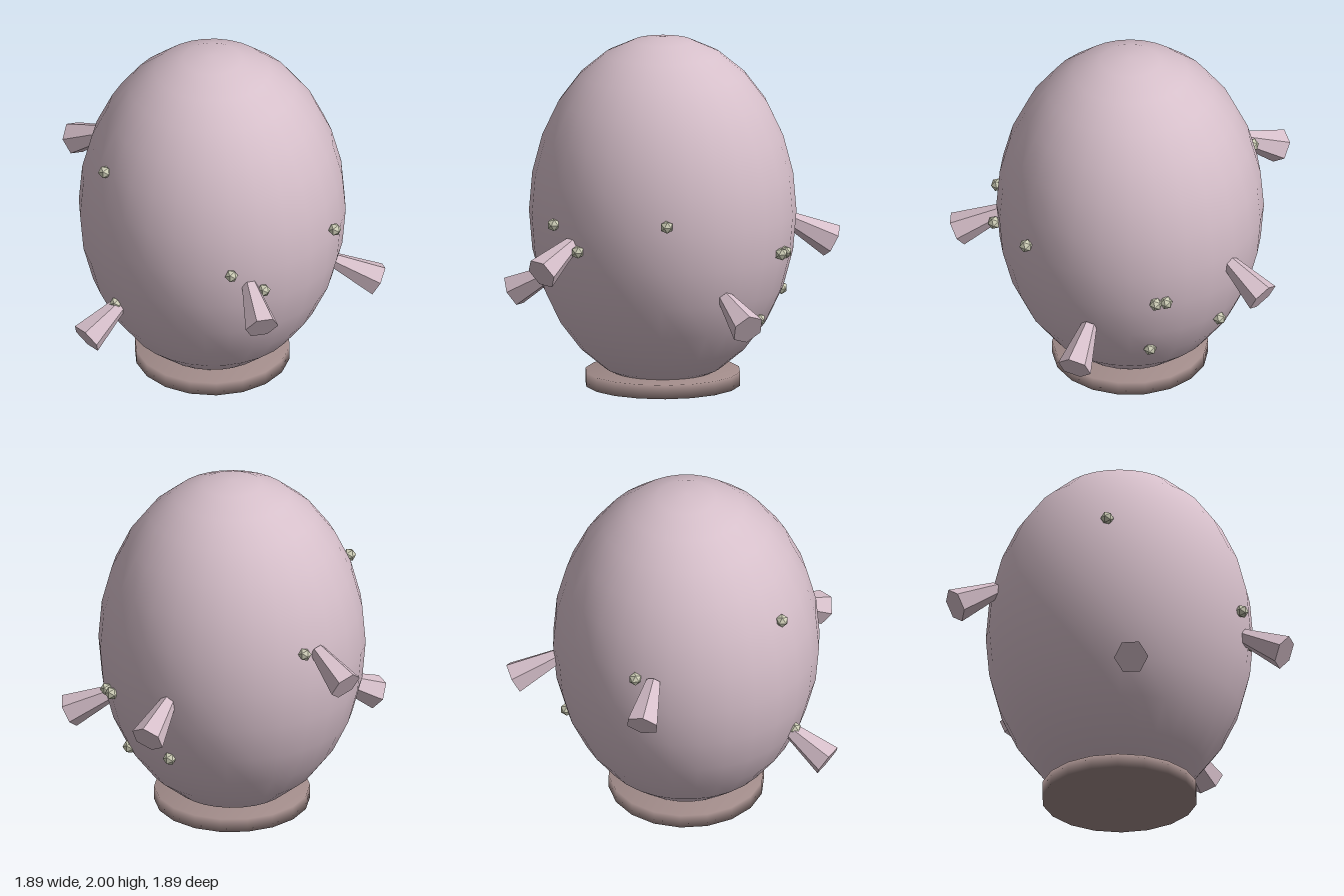
import * as THREE from 'three';
import { mergeVertices } from 'three/addons/utils/BufferGeometryUtils.js';

const CX = 0.015, CZ = 0.075; // vertical axis of the egg

function material(name, color, flatShading = false) {
  const m = new THREE.MeshStandardMaterial({ color, flatShading });
  m.name = name;
  return m;
}

export function createModel() {
  const group = new THREE.Group();
  const skin = material('paleMauve', 0xd6bfca);
  const hornSkin = material('paleMauveFaceted', 0xd6bfca, true);
  const stone = material('brownGrey', 0xa28c8a);
  const wartSkin = material('paleSage', 0xcdcdb6, true);

  const add = (name, geometry, mat, x, y, z) => {
    const mesh = new THREE.Mesh(geometry, mat);
    mesh.name = name;
    mesh.position.set(x, y, z);
    group.add(mesh);
    return mesh;
  };

  // Egg-shaped body
  const egg = new THREE.SphereGeometry(1, 28, 14);
  egg.scale(0.755, 1, 0.755);
  add('body', egg, skin, CX, 1, CZ);

  // Round foot with softly shaded rim
  let foot = new THREE.CylinderGeometry(0.44, 0.44, 0.08, 18);
  foot.deleteAttribute('normal');
  foot.deleteAttribute('uv');
  foot = mergeVertices(foot);
  foot.computeVertexNormals();
  add('foot', foot, stone, CX, 0.04, CZ);

  // Hexagonal horns, flaring outward and drooping; listed by the centre of the outer end
  const length = 0.28, droop = 0.5;
  const horn = new THREE.CylinderGeometry(0.097, 0.045, length, 6);
  horn.translate(0, -length / 2, 0);
  const up = new THREE.Vector3(0, 1, 0);
  const hornTips = [
    [0.895, 0.475, -0.23],
    [0.03, 0.785, -0.897],
    [-0.9, 1.065, -0.265],
    [-0.5, 0.465, 0.825],
    [0.555, 0.775, 0.89],
  ];
  for (const [x, y, z] of hornTips) {
    const a = Math.atan2(z - CZ, x - CX);
    const dir = new THREE.Vector3(
      Math.cos(a) * Math.cos(droop), -Math.sin(droop), Math.sin(a) * Math.cos(droop));
    add('horn', horn, hornSkin, x, y, z).quaternion.setFromUnitVectors(up, dir);
  }

  // Small faceted warts on the surface
  const wart = new THREE.IcosahedronGeometry(0.038, 0);
  const warts = [
    [-0.47, 1.43, 0.57],
    [0.34, 1.01, 0.775],
    [0.78, 1.06, 0.215],
    [0.5, 0.88, 0.67],
    [-0.38, 0.615, 0.65],
    [0.505, 0.82, -0.505],
    [0.455, 0.82, -0.54],
    [0.42, 0.43, -0.395],
    [0.05, 0.53, -0.6],
    [-0.645, 1.21, -0.28],
  ];
  for (const [x, y, z] of warts) add('wart', wart, wartSkin, x, y, z);

  return group;
}
